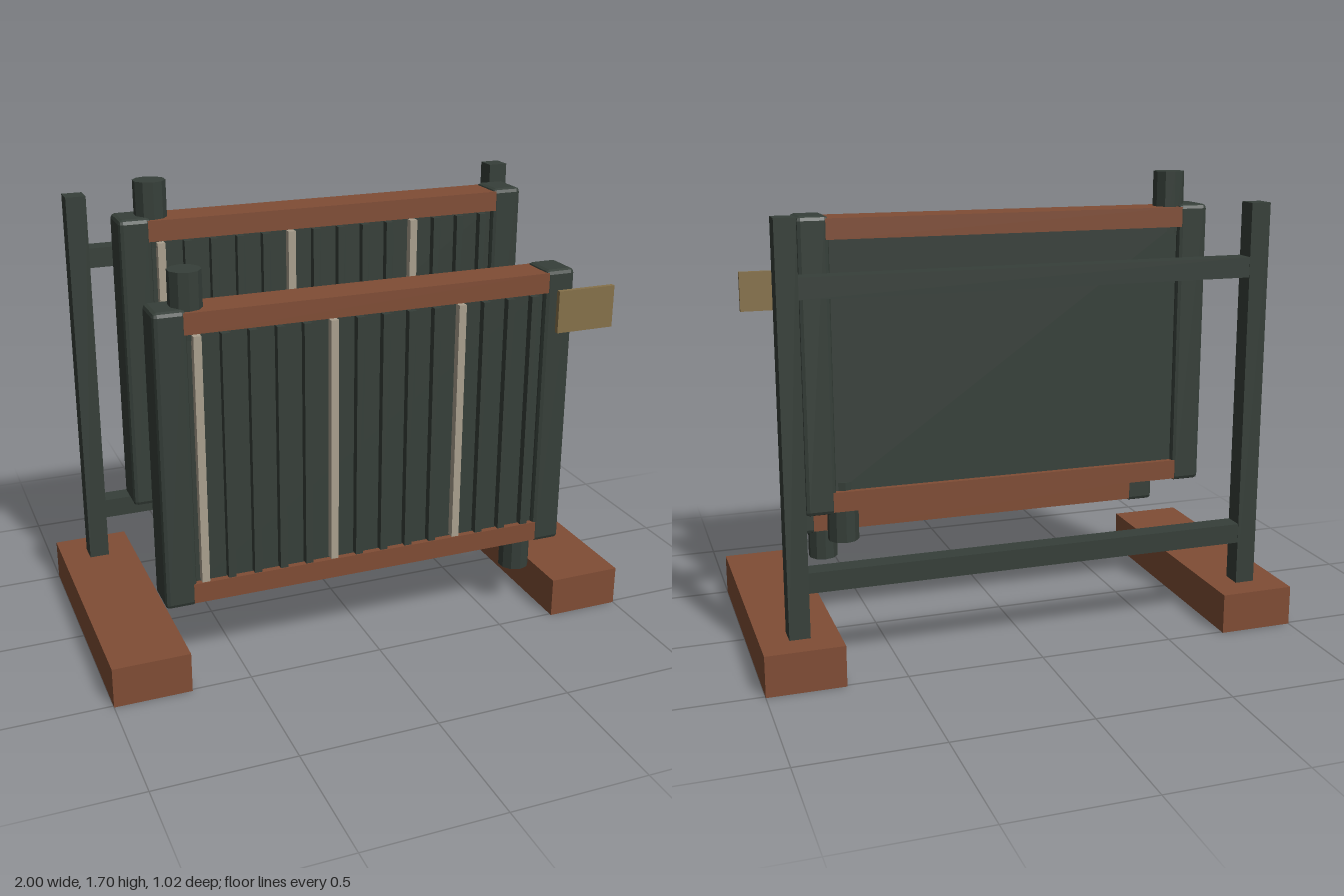
import * as THREE from 'three';
import { RoundedBoxGeometry } from 'three/addons/geometries/RoundedBoxGeometry.js';

const material = (name, color) => {
  const m = new THREE.MeshStandardMaterial({ color });
  m.name = name;
  return m;
};

export function createModel() {
  const dark = material('dark green metal', 0x363f39);
  const rust = material('rust brown', 0x804d35);
  const cream = material('pale fin', 0xaaa08e);
  const brass = material('brass plate', 0x86714a);

  const add = (parent, name, geometry, mat, x, y, z) => {
    const mesh = new THREE.Mesh(geometry, mat);
    mesh.name = name;
    mesh.position.set(x, y, z);
    parent.add(mesh);
    return mesh;
  };
  const box = (parent, name, mat, w, h, d, x, y, z) =>
    add(parent, name, new THREE.BoxGeometry(w, h, d), mat, x, y, z);

  // Faceted versions keep every chamfer and pipe side flat
  const flat = (geometry) => {
    const g = geometry.index ? geometry.toNonIndexed() : geometry;
    g.computeVertexNormals();
    return g;
  };
  const tankGeometry = flat(new RoundedBoxGeometry(0.115, 1.078, 0.147, 1, 0.016));
  const pipeGeometry = flat(new THREE.CylinderGeometry(0.058, 0.058, 0.23, 10));

  // One radiator panel, centred on its own origin
  function createRadiator(name) {
    const radiator = new THREE.Group();
    radiator.name = name;
    box(radiator, 'core', dark, 1.34, 0.94, 0.1, 0, 0, 0);
    for (const side of [-1, 1]) {
      add(radiator, side < 0 ? 'rightTank' : 'leftTank', tankGeometry, dark, side * 0.722, 0, 0);
      box(radiator, side < 0 ? 'bottomRail' : 'topRail', rust, 1.354, 0.074, 0.145, 0, side * 0.493, 0);
    }
    // Vertical fins, every fifth one pale
    for (let i = 0; i < 14; i++) {
      const pale = i % 5 === 0;
      box(radiator, pale ? 'paleFin' : 'darkFin', pale ? cream : dark,
        0.028, 0.9, 0.04, -0.634 + i * 0.0965, 0, 0.059);
    }
    // Inlet and outlet at opposite corners
    add(radiator, 'inletPipe', pipeGeometry, dark, -0.65, 0.545, 0);
    add(radiator, 'outletPipe', pipeGeometry, dark, 0.63, -0.541, 0);
    return radiator;
  }

  const model = new THREE.Group();
  model.name = 'radiatorRack';

  // Stand
  for (const side of [-1, 1]) {
    box(model, 'foot', rust, 0.28, 0.15, 1.02, side * 0.86, 0.075, 0);
    box(model, 'post', dark, 0.074, 1.45, 0.076, side * 0.86, 0.875, -0.369);
  }
  for (const y of [0.35, 1.368]) {
    box(model, 'crossbar', dark, 1.66, 0.074, 0.074, 0, y, -0.369);
  }

  // Two staggered radiators
  const front = createRadiator('frontRadiator');
  front.position.set(0, 0.825, 0.352);
  const rear = createRadiator('rearRadiator');
  rear.position.set(0, 1.037, -0.071);
  model.add(front, rear);

  // Blank tag beside the front radiator
  box(model, 'tag', brass, 0.225, 0.155, 0.018, 0.787, 1.23, 0.493);

  return model;
}
